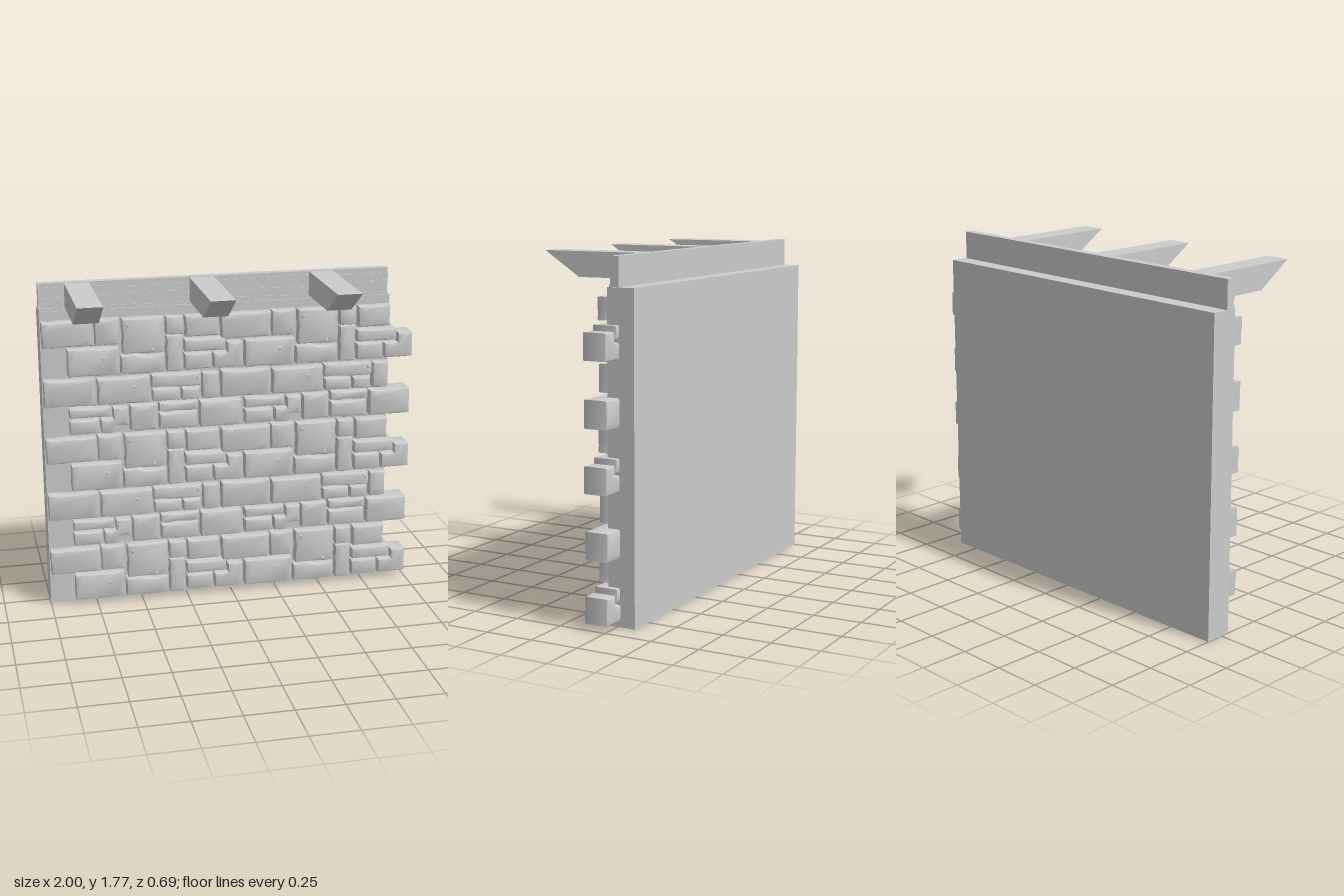
import * as THREE from 'three';
import { toCreasedNormals } from 'three/addons/utils/BufferGeometryUtils.js';

const material = new THREE.MeshStandardMaterial({ color: 0xcccccc });

// Layout grid of the masonry: U cells per unit, origin at the wall's left top
const U = 187, LEFT = 238, BASE = 390;
const PERIOD_X = 176 / U, PERIOD_Y = 118 / U;
const SLAB_FRONT = -0.2;

let seed = 7;
const rand = () => {
  seed = (seed * 16807) % 2147483647;
  return seed / 2147483647;
};

function add(parent, name, geometry, x = 0, y = 0, z = 0) {
  const mesh = new THREE.Mesh(geometry, material);
  mesh.name = name;
  mesh.position.set(x, y, z);
  parent.add(mesh);
  return mesh;
}

// Box given by its limits on each axis
function addBox(parent, name, x0, x1, y0, y1, z0, z1) {
  return add(parent, name, new THREE.BoxGeometry(x1 - x0, y1 - y0, z1 - z0),
    (x0 + x1) / 2, (y0 + y1) / 2, (z0 + z1) / 2);
}

const rect = (x0, x1, y0, y1) => [[x0, y0], [x1, y0], [x1, y1], [x0, y1]];

// Bevelled stone with a slightly worn outline
function stoneGeometry(corners, deep) {
  const pts = [];
  corners.forEach(([ax, ay], i) => {
    const [bx, by] = corners[(i + 1) % corners.length];
    const length = Math.hypot(bx - ax, by - ay);
    const n = Math.max(1, Math.round(length / 8));
    const wear = deep ? 0.4 : 1.3;
    for (let k = 0; k < n; k++) {
      const t = k / n, w = k ? (rand() - 0.35) * wear : rand() * 0.4;
      // move to the inner side of the edge
      const x = ax + (bx - ax) * t - ((by - ay) / length) * w;
      const y = ay + (by - ay) * t + ((bx - ax) / length) * w;
      pts.push(new THREE.Vector2((x - LEFT) / U, (BASE - y) / U));
    }
  });
  const bevel = 0.009;
  const front = deep ? -0.137 : -0.146 + rand() * 0.009;
  const back = deep ? -0.265 : SLAB_FRONT - 0.02;
  const geometry = new THREE.ExtrudeGeometry(new THREE.Shape(pts), {
    depth: front - back - 2 * bevel, bevelEnabled: true, bevelThickness: bevel,
    bevelSize: bevel, bevelOffset: -bevel, bevelSegments: 2,
  });
  geometry.translate(0, 0, back + bevel);
  return toCreasedNormals(geometry, 0.6);
}

// Three courses that repeat up the wall; deep stones turn the corner
const courses = [
  {
    name: 'tallCourse', repeats: 3,
    stones: [
      rect(52, 102, 94, 119), rect(103, 127, 93, 119), rect(130, 171, 94, 129),
      rect(173, 190, 94, 112), rect(192, 225, 94, 115), rect(76, 126, 122, 149),
      [[128, 131], [140, 129], [150, 132], [171, 131], [171, 149], [128, 149]],
      rect(173, 189, 113, 149), rect(191, 218, 132, 148),
    ],
    deep: [
      rect(191, 232, 118, 130),
      [[234, 123], [249, 123], [249, 148], [220, 148], [220, 133], [234, 133]],
    ],
    chips: [[111, 132], [135, 100], [159, 126]],
  },
  {
    name: 'middleCourse', repeats: 2,
    stones: [
      rect(52, 102, 152, 179), rect(104, 156, 153, 179), rect(158, 207, 152, 165),
      rect(159, 186, 167, 179), rect(188, 206, 167, 179), rect(209, 225, 153, 179),
    ],
    deep: [],
    chips: [[140, 162], [203, 156]],
  },
  {
    name: 'lowCourse', repeats: 2,
    stones: [
      rect(76, 117, 182, 192), rect(76, 105, 194, 208),
      [[107, 194], [119, 194], [119, 183], [134, 183], [134, 201], [121, 201], [121, 208], [107, 208]],
      rect(136, 163, 182, 208), rect(165, 204, 181, 190), rect(165, 203, 192, 208),
    ],
    deep: [rect(206, 248, 182, 208)],
    chips: [],
  },
];

function buildMasonry() {
  const masonry = new THREE.Group();
  masonry.name = 'masonry';
  const chip = new THREE.IcosahedronGeometry(0.012, 0);
  chip.scale(0.8, 1, 0.3);
  for (const { name, repeats, stones, deep, chips } of courses) {
    const faceStones = stones.map((s) => stoneGeometry(s, false));
    const cornerStones = deep.map((s) => stoneGeometry(s, true));
    for (let row = 0; row < repeats; row++) {
      for (let col = 0; col < 2; col++) {
        const course = new THREE.Group();
        course.name = name;
        course.position.set(col * PERIOD_X, -row * PERIOD_Y, 0);
        faceStones.forEach((g) => add(course, 'stone', g));
        cornerStones.forEach((g) => add(course, 'cornerStone', g));
        chips.forEach(([x, y]) => add(course, 'chip', chip, (x - LEFT) / U, (BASE - y) / U, -0.141));
        masonry.add(course);
      }
    }
  }
  return masonry;
}

// Top board: a plain core faced with wavy strips of wood grain
function buildBoard() {
  const board = new THREE.Group();
  board.name = 'topBoard';
  const x0 = -1, x1 = 0.87, y0 = 1.625, y1 = 1.775;
  addBox(board, 'boardCore', x0, x1, y0, y1, -0.257, -0.218);
  const strips = 6, steps = 28;
  const grain = (i, x) => {
    const y = y0 + ((y1 - y0) * i) / strips;
    if (i === 0 || i === strips) return y;
    return y + 0.006 * Math.sin(4.5 * x + i * 1.3) + 0.003 * Math.sin(11 * x + i * 2);
  };
  for (let i = 0; i < strips; i++) {
    const edge = (j) => Array.from({ length: steps + 1 }, (_, k) => {
      const x = x0 + ((x1 - x0) * k) / steps;
      return new THREE.Vector2(x, grain(j, x));
    });
    const shape = new THREE.Shape([...edge(i), ...edge(i + 1).reverse()]);
    const depth = i % 2 ? 0.008 : 0.013;
    add(board, 'grainStrip', new THREE.ExtrudeGeometry(shape, { depth, bevelEnabled: false }), 0, 0, -0.22);
  }
  return board;
}

// Rafter ends with a slanted cut below the tip
function buildRafters() {
  const rafters = new THREE.Group();
  rafters.name = 'rafters';
  const width = 0.128;
  const side = new THREE.Shape([[0.215, 1.645], [0.215, 1.772], [-0.345, 1.772], [-0.15, 1.645]]
    .map(([x, y]) => new THREE.Vector2(x, y)));
  const geometry = new THREE.ExtrudeGeometry(side, { depth: width, bevelEnabled: false });
  geometry.translate(0, 0, -width / 2);
  geometry.rotateY(Math.PI / 2); // profile x becomes -z
  for (const x of [-0.8, -0.146, 0.498]) add(rafters, 'rafter', geometry, x);
  return rafters;
}

export function createModel() {
  const model = new THREE.Group();
  model.name = 'stoneWall';
  addBox(model, 'wallSlab', -1, 0.88, 0, 1.63, -0.345, SLAB_FRONT);
  model.add(buildMasonry(), buildBoard(), buildRafters());
  return model;
}
